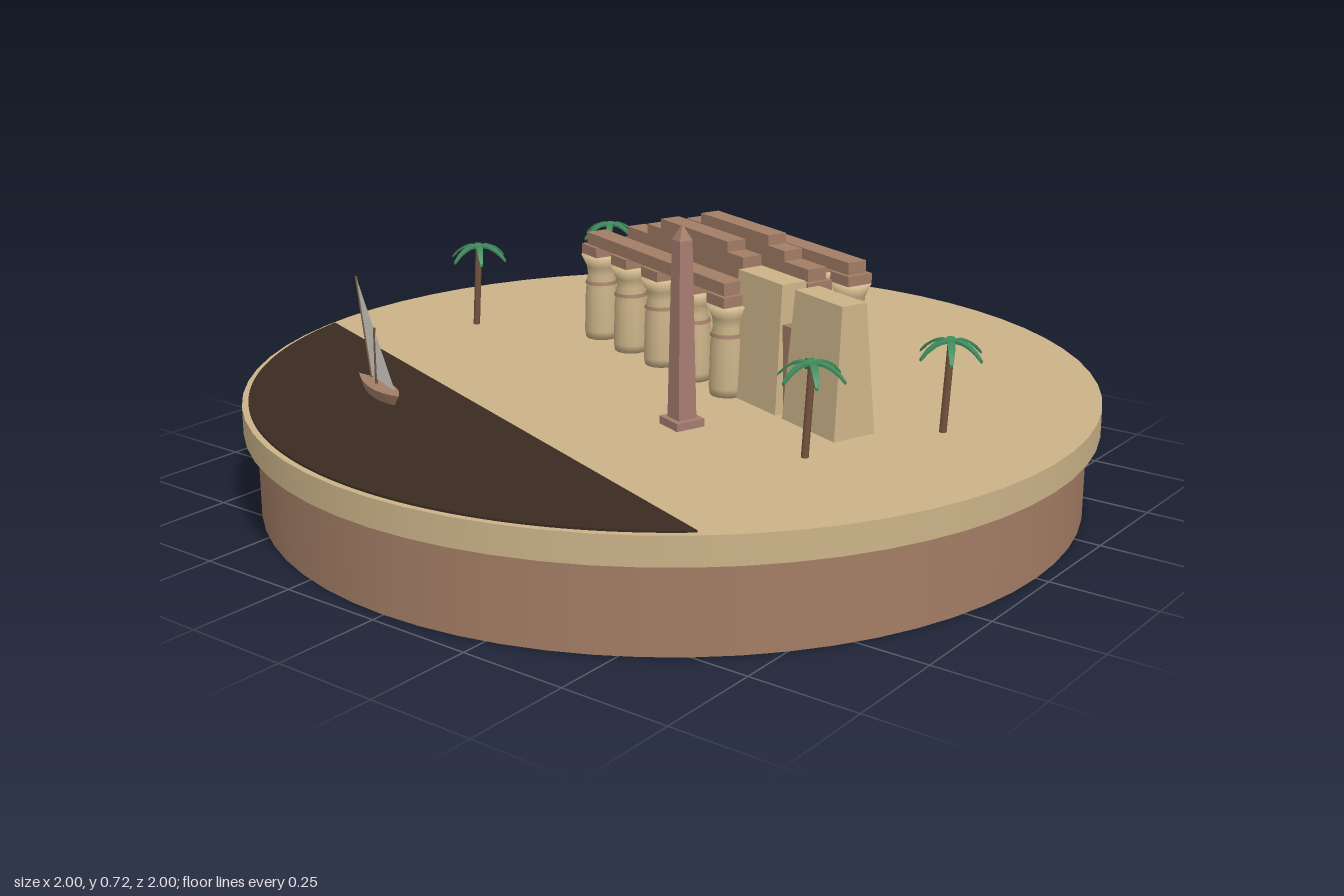
import * as THREE from 'three';

const material = (name, color, extra = {}) => {
  const m = new THREE.MeshStandardMaterial({ color, ...extra });
  m.name = name;
  return m;
};
const TURN = -Math.PI / 9; // shared heading of temple, shore and boat
const GROUND = 0.265;

export function createModel() {
  const sand = material('sand', 0xcbb388);
  const stone = material('brown stone', 0xa37d65);
  const granite = material('pink granite', 0xa67c70);
  const water = material('dark water', 0x3a2a22);
  const bark = material('bark', 0x76543f);
  const leaf = material('palm green', 0x3f8a5c);
  const cloth = material('sail cloth', 0xdad9cf, { side: THREE.DoubleSide });

  const model = new THREE.Group();
  model.name = 'riverTempleDiorama';

  const add = (parent, name, geometry, mat, x = 0, y = 0, z = 0) => {
    const mesh = new THREE.Mesh(geometry, mat);
    mesh.name = name;
    mesh.position.set(x, y, z);
    parent.add(mesh);
    return mesh;
  };
  const group = (name, x, y, z, turn = TURN) => {
    const g = new THREE.Group();
    g.name = name;
    g.position.set(x, y, z);
    g.rotation.y = turn;
    model.add(g);
    return g;
  };
  const box = (parent, name, mat, w, h, d, x, bottom, z) =>
    add(parent, name, new THREE.BoxGeometry(w, h, d), mat, x, bottom + h / 2, z);

  // Box standing on y = 0 whose top is shrunk to a given size
  const taperedBox = (w, h, d, topW, topD) => {
    const g = new THREE.BoxGeometry(w, h, d).translate(0, h / 2, 0);
    const p = g.attributes.position;
    for (let i = 0; i < p.count; i++) {
      if (p.getY(i) > h / 2) p.setXYZ(i, p.getX(i) * topW / w, h, p.getZ(i) * topD / d);
    }
    g.computeVertexNormals();
    return g;
  };

  // Round base and sand disc
  add(model, 'base', new THREE.CylinderGeometry(0.97, 0.97, 0.2, 64), stone, 0, 0.1, 0);
  add(model, 'desert', new THREE.CylinderGeometry(1, 1, 0.065, 64), sand, 0, 0.2325, 0);

  // River: circular segment cut along the shore
  const river = new THREE.Shape();
  river.absarc(0, 0, 0.985, THREE.MathUtils.degToRad(50), THREE.MathUtils.degToRad(170), false);
  river.closePath();
  const riverGeo = new THREE.ExtrudeGeometry(river, { depth: 0.005, bevelEnabled: false, curveSegments: 40 });
  add(model, 'river', riverGeo.rotateX(Math.PI / 2), water, 0, GROUND + 0.005, 0);

  // Column hall: four rows of five columns under beams
  const hall = group('columnHall', -0.025, GROUND, -0.236);
  const columnProfile = [
    [0, 0], [0.04, 0], [0.043, 0.02], [0.04, 0.12], [0.034, 0.165],
    [0.036, 0.185], [0.05, 0.215], [0, 0.215],
  ].map(([r, y]) => new THREE.Vector2(r, y));
  const columnGeo = new THREE.LatheGeometry(columnProfile, 14);
  const bandGeo = new THREE.CylinderGeometry(0.039, 0.041, 0.008, 14);
  for (let row = 0; row < 4; row++) {
    const z = (row - 1.5) * 0.118;
    for (let i = 0; i < 5; i++) {
      const x = (i - 2) * 0.141;
      add(hall, 'column', columnGeo, sand, x, 0, z);
      add(hall, 'columnBand', bandGeo, stone, x, 0.145, z);
      box(hall, 'abacus', stone, 0.07, 0.025, 0.07, x, 0.215, z);
    }
    box(hall, 'beam', stone, 0.61, 0.03, 0.052, 0, 0.24, z);
    // The two middle rows step up in the centre
    if (row === 1 || row === 2) {
      box(hall, 'middleBeam', stone, 0.42, 0.025, 0.052, 0, 0.27, z);
      box(hall, 'topBeam', stone, 0.29, 0.025, 0.052, 0, 0.295, z);
    }
  }

  // Gateway: two sloping towers joined by a low gate
  const gateway = group('gateway', 0.39, GROUND, 0.046);
  for (const side of [-1, 1]) {
    add(gateway, 'gateTower', taperedBox(0.19, 0.295, 0.11, 0.168, 0.065), sand, side * 0.108, 0, 0);
  }
  box(gateway, 'gate', stone, 0.07, 0.205, 0.065, 0, 0, 0);

  // Obelisk on a plinth
  const obelisk = group('obelisk', 0.232, GROUND, 0.27);
  box(obelisk, 'plinth', granite, 0.072, 0.018, 0.072, 0, 0, 0);
  add(obelisk, 'shaft', taperedBox(0.046, 0.4, 0.046, 0.032, 0.032), granite, 0, 0.018, 0);
  add(obelisk, 'tip', taperedBox(0.032, 0.034, 0.032, 0.001, 0.001), stone, 0, 0.418, 0);

  // Palm frond: a tapering strip that rises, then droops
  const frondGeo = new THREE.BoxGeometry(0.075, 0.006, 0.022, 5, 1, 1).translate(0.0375, 0, 0);
  const fp = frondGeo.attributes.position;
  for (let i = 0; i < fp.count; i++) {
    const t = fp.getX(i) / 0.075;
    fp.setY(i, fp.getY(i) + 0.03 * t - 0.06 * t * t);
    fp.setZ(i, fp.getZ(i) * (0.5 + 1.1 * t - 1.3 * t * t));
  }
  frondGeo.computeVertexNormals();
  const trunkPath = new THREE.QuadraticBezierCurve3(
    new THREE.Vector3(-0.012, 0, 0), new THREE.Vector3(-0.006, 0.1, 0), new THREE.Vector3(0, 0.205, 0));
  const trunkGeo = new THREE.TubeGeometry(trunkPath, 6, 0.0085, 7);
  [[-0.56, -0.46, 0.1], [-0.67, -0.06, 0.3], [0.725, -0.035, 0], [0.575, 0.28, 0.2]].forEach(([x, z, turn]) => {
    const palm = group('palm', x, GROUND, z, turn);
    add(palm, 'trunk', trunkGeo, bark);
    for (let i = 0; i < 6; i++) {
      add(palm, 'frond', frondGeo, leaf, 0, 0.205, 0).rotation.y = i * Math.PI / 3;
    }
  });

  // Sailing boat: hull is a pointed outline narrowed towards the keel
  const boat = group('boat', -0.437, GROUND + 0.004, 0.537);
  const outline = new THREE.Shape();
  outline.moveTo(-0.108, 0);
  outline.quadraticCurveTo(0.03, 0.052, 0.108, 0);
  outline.quadraticCurveTo(0.03, -0.052, -0.108, 0);
  const hullGeo = new THREE.ExtrudeGeometry(outline, { depth: 0.028, bevelEnabled: false, curveSegments: 8 })
    .rotateX(-Math.PI / 2);
  const hp = hullGeo.attributes.position;
  for (let i = 0; i < hp.count; i++) {
    if (hp.getY(i) < 0.01) hp.setXYZ(i, hp.getX(i) * 0.78, 0, hp.getZ(i) * 0.6);
  }
  hullGeo.computeVertexNormals();
  add(boat, 'hull', hullGeo, stone);
  add(boat, 'mast', new THREE.CylinderGeometry(0.003, 0.004, 0.14, 6), bark, -0.01, 0.09, 0);
  const sail = new THREE.Shape([
    new THREE.Vector2(-0.1, 0.262), new THREE.Vector2(-0.035, 0.04), new THREE.Vector2(0.09, 0.036)]);
  add(boat, 'sail', new THREE.ShapeGeometry(sail), cloth);
  const yard = new THREE.LineCurve3(new THREE.Vector3(-0.1, 0.262, 0), new THREE.Vector3(-0.035, 0.036, 0));
  add(boat, 'yard', new THREE.TubeGeometry(yard, 1, 0.003, 6), bark);

  return model;
}
